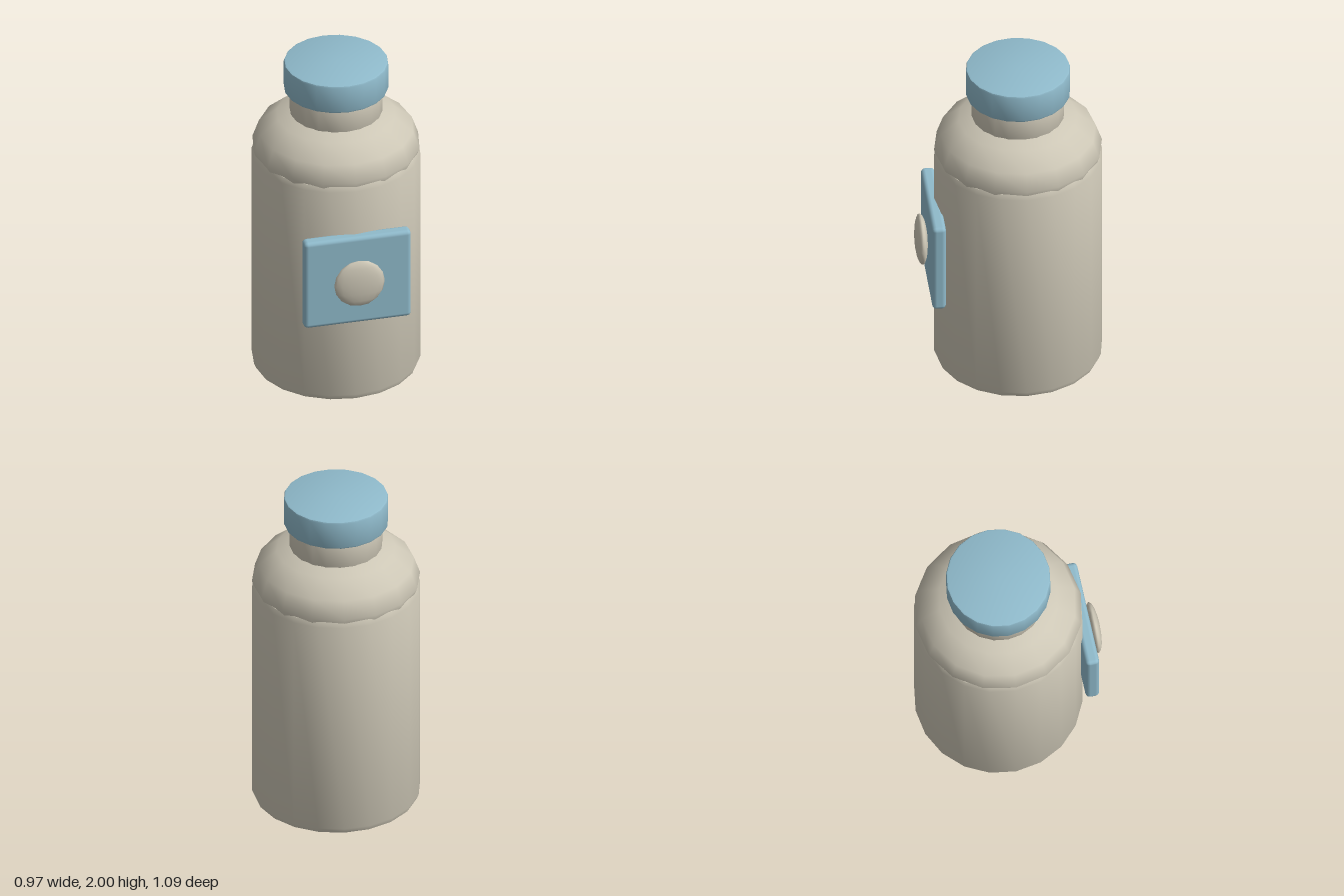
import * as THREE from 'three';
import { toCreasedNormals } from 'three/addons/utils/BufferGeometryUtils.js';
import { RoundedBoxGeometry } from 'three/addons/geometries/RoundedBoxGeometry.js';

export function createModel() {
  const model = new THREE.Group();
  model.name = 'bottle';
  const beige = new THREE.MeshStandardMaterial({ name: 'warm beige', color: 0xcdc7b6 });
  const blue = new THREE.MeshStandardMaterial({ name: 'soft blue', color: 0x8fbacb });
  const axisZ = -0.055;

  function add(name, geometry, material, x, y, z) {
    const mesh = new THREE.Mesh(geometry, material);
    mesh.name = name;
    mesh.position.set(x, y, z);
    model.add(mesh);
  }

  // Upright cylinder with softly bevelled rims
  function bevelledCylinder(radius, height, bevel) {
    const points = [new THREE.Vector2(0, 0)];
    for (let i = 0; i <= 2; i++) {
      const a = (i / 2) * Math.PI / 2;
      points.push(new THREE.Vector2(radius - bevel + bevel * Math.sin(a), bevel - bevel * Math.cos(a)));
    }
    for (let i = 0; i <= 2; i++) {
      const a = (i / 2) * Math.PI / 2;
      points.push(new THREE.Vector2(radius - bevel + bevel * Math.cos(a), height - bevel + bevel * Math.sin(a)));
    }
    points.push(new THREE.Vector2(0, height));
    return toCreasedNormals(new THREE.LatheGeometry(points, 20), 0.6);
  }

  function ellipsoid(rx, ry, rz) {
    return new THREE.SphereGeometry(1, 16, 8).scale(rx, ry, rz);
  }

  // Container
  add('body', bevelledCylinder(0.487, 1.445, 0.045), beige, 0, 0, axisZ);
  add('shoulder', ellipsoid(0.487, 0.273, 0.487), beige, 0, 1.455, axisZ);
  add('neck', bevelledCylinder(0.268, 0.21, 0.01), beige, 0, 1.64, axisZ);
  add('cap', bevelledCylinder(0.302, 0.18, 0.012), blue, 0, 1.82, axisZ);

  // Front label with a raised round badge
  add('label', new RoundedBoxGeometry(0.635, 0.57, 0.08, 2, 0.025), blue, 0, 0.832, 0.435);
  add('badge', ellipsoid(0.15, 0.15, 0.037), beige, 0, 0.832, 0.507);

  return model;
}
